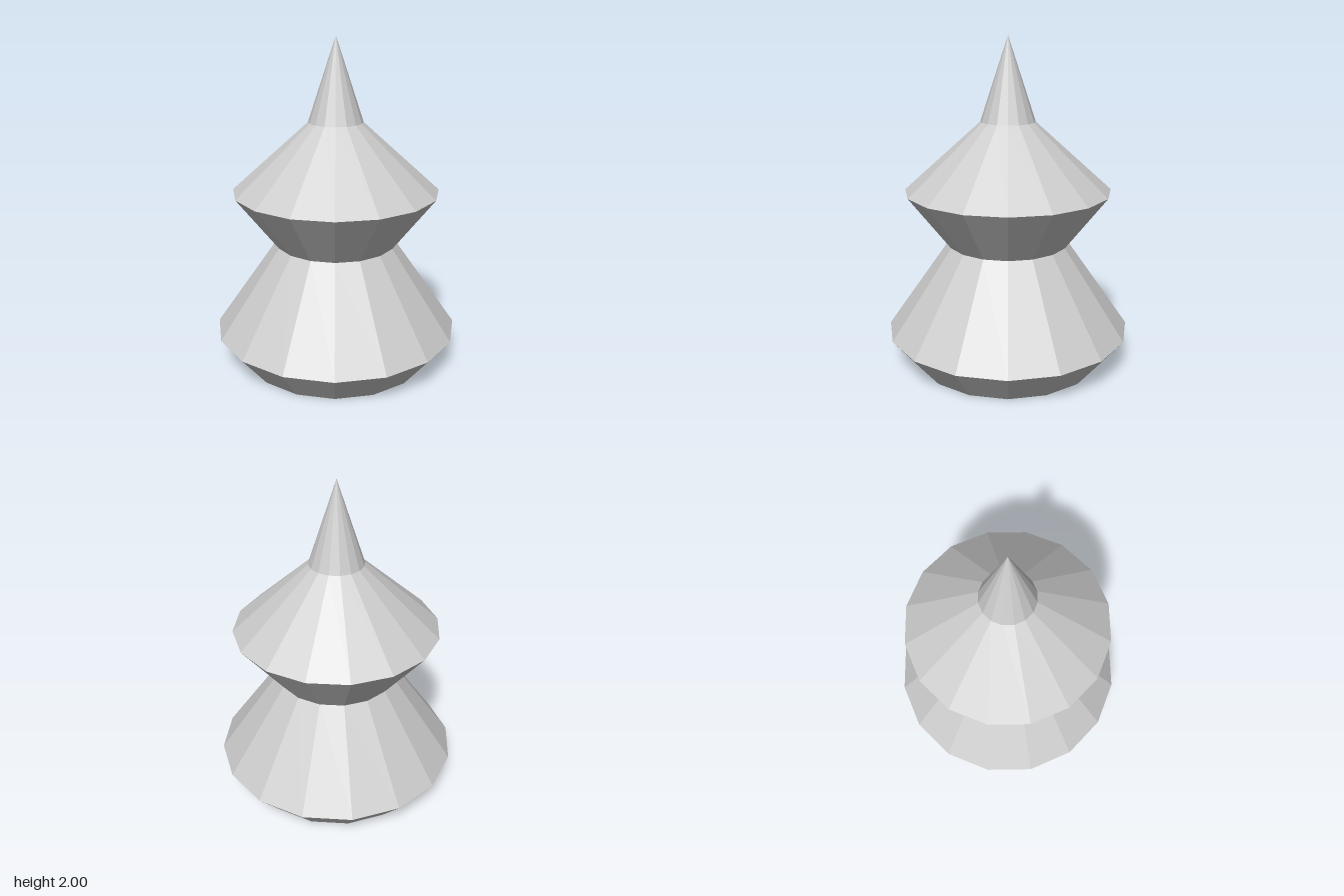
import * as THREE from 'three';

const SIDES = 16;

// Faceted ring section from a list of [radius, height] points, bottom to top
function turned(name, points, material) {
  const profile = points.map(([r, y]) => new THREE.Vector2(r, y));
  const geometry = new THREE.LatheGeometry(profile, SIDES).toNonIndexed();
  geometry.computeVertexNormals(); // one normal per facet
  const mesh = new THREE.Mesh(geometry, material);
  mesh.name = name;
  return mesh;
}

export function createModel() {
  const group = new THREE.Group();
  group.name = 'tieredSpire';
  const grey = new THREE.MeshStandardMaterial({ color: 0xcccccc });
  grey.name = 'light grey';
  grey.flatShading = true;

  group.add(
    // closed foot flaring out to the widest rim
    turned('foot', [[0, 0], [0.58, 0], [0.75, 0.21]], grey),
    // lower slope narrowing to the waist
    turned('lowerTier', [[0.75, 0.21], [0.37, 0.755]], grey),
    // upper tier: flares out, then slopes up to the neck
    turned('upperTier', [[0.37, 0.755], [0.625, 1.087], [0.165, 1.5]], grey),
    // pointed tip
    turned('spire', [[0.165, 1.5], [0, 2]], grey),
  );
  return group;
}
